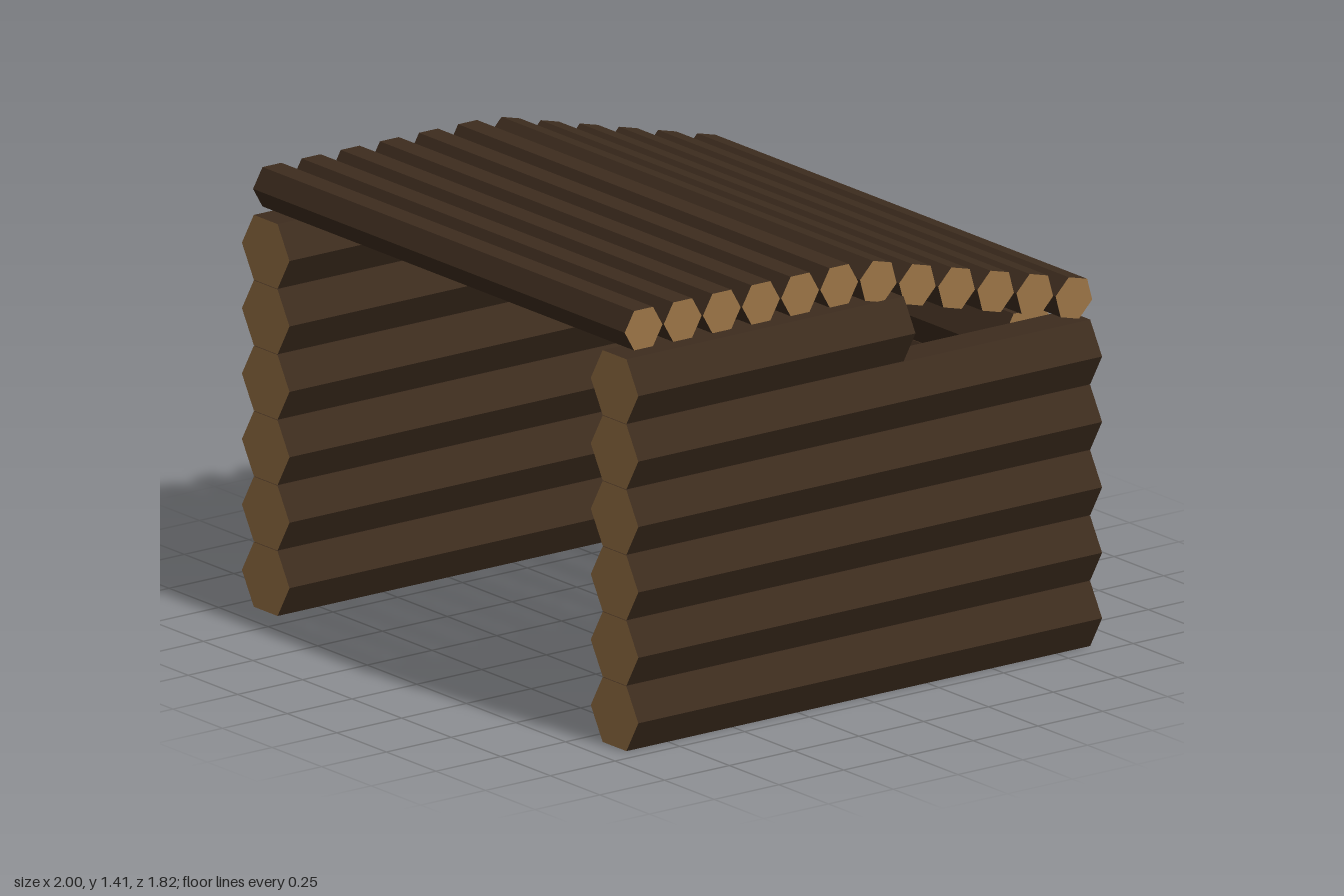
import * as THREE from 'three';

export function createModel() {
  const model = new THREE.Group();
  model.name = 'logShelter';

  const bark = new THREE.MeshStandardMaterial({ color: 0x3d2c1e, flatShading: true });
  const cutWood = new THREE.MeshStandardMaterial({ color: 0x9b7446, flatShading: true });

  // Six-sided log running from a to b along the x or z axis, flats up and down
  function addLog(parent, name, axis, radius, a, b) {
    const geo = new THREE.CylinderGeometry(radius, radius, b - a, 6);
    if (axis === 'z') geo.rotateY(Math.PI / 2).rotateX(Math.PI / 2);
    else geo.rotateZ(Math.PI / 2);
    const log = new THREE.Mesh(geo, [bark, cutWood, cutWood]);
    log.name = name;
    log.position[axis] = (a + b) / 2;
    parent.add(log);
    return log;
  }

  const R = 0.12;
  const PITCH = 0.21;
  const rowY = (i) => 0.107 + i * PITCH;

  // Side walls: five full logs and a shorter one on top, towards the front
  for (const side of [1, -1]) {
    const wall = new THREE.Group();
    wall.name = side > 0 ? 'leftWall' : 'rightWall';
    for (let i = 0; i < 6; i++) {
      const log = addLog(wall, 'sideLog', 'z', R, i < 5 ? -0.88 : -0.16, 0.91);
      log.position.x = side * 0.88;
      log.position.y = rowY(i);
    }
    model.add(wall);
  }

  // Back wall: the middle log sits slightly further in
  const backWall = new THREE.Group();
  backWall.name = 'backWall';
  for (let i = 0; i < 5; i++) {
    const log = addLog(backWall, 'backLog', 'x', R, -0.76, 0.75);
    log.position.y = rowY(i);
    log.position.z = i === 2 ? -0.76 : -0.79;
  }
  model.add(backWall);

  // Roof: level logs in front, then a slope down to the back
  const roof = new THREE.Group();
  roof.name = 'roof';
  for (let i = 0; i < 12; i++) {
    const log = addLog(roof, 'roofLog', 'x', 0.073, -0.94, 0.935);
    const slopeStep = i - 6;
    log.position.z = 0.84 - i * 0.151;
    log.position.y = slopeStep < 0 ? 1.345 - i * 0.001 : 1.325 - slopeStep * 0.039;
    if (slopeStep >= 0) log.rotation.x = -0.25;
    roof.add(log);
  }
  model.add(roof);

  return model;
}
